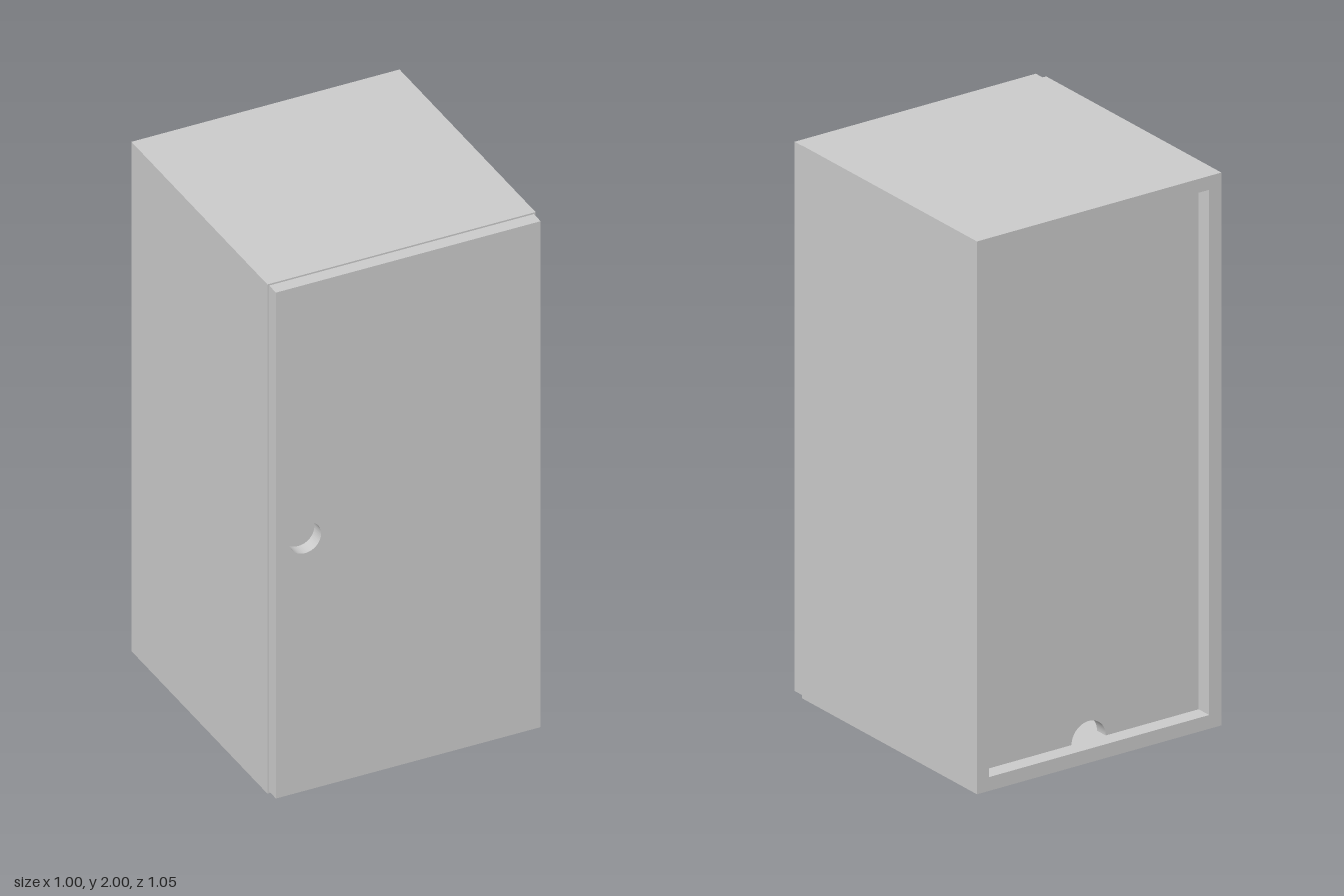
import * as THREE from 'three';

const material = new THREE.MeshStandardMaterial({ color: 0xcccccc });

function rectangle(w, y0, y1) {
  return new THREE.Shape([
    new THREE.Vector2(-w / 2, y0), new THREE.Vector2(w / 2, y0),
    new THREE.Vector2(w / 2, y1), new THREE.Vector2(-w / 2, y1),
  ]);
}

// Extrudes a shape from z to z + depth
function slab(name, shape, z, depth) {
  const geometry = new THREE.ExtrudeGeometry(shape, { depth, bevelEnabled: false, curveSegments: 32 });
  geometry.translate(0, 0, z);
  const mesh = new THREE.Mesh(geometry, material);
  mesh.name = name;
  return mesh;
}

export function createModel() {
  const group = new THREE.Group();
  group.name = 'cabinet';
  const wall = 0.05, back = -0.525, bodyDepth = 1;

  // Carcass: sides, top and bottom as one open frame
  const frame = rectangle(1, 0, 2);
  frame.holes.push(rectangle(1 - 2 * wall, wall, 2 - wall));
  group.add(slab('carcass', frame, back, bodyDepth));

  // Recessed back panel with a half-round cable notch at the bottom
  const w = 0.5 - wall, r = 0.07;
  const panel = new THREE.Shape();
  panel.moveTo(-w, wall);
  panel.lineTo(-r, wall);
  panel.absarc(0, wall, r, Math.PI, 0, true);
  panel.lineTo(w, wall);
  panel.lineTo(w, 2 - wall);
  panel.lineTo(-w, 2 - wall);
  panel.closePath();
  group.add(slab('backPanel', panel, back + 0.06, 0.05));

  // Door, slightly smaller than the carcass, with a round finger hole
  const door = rectangle(0.987, 0.007, 1.994);
  door.holes.push(new THREE.Path().absarc(-0.385, 1, 0.06, 0, Math.PI * 2, true));
  group.add(slab('door', door, back + bodyDepth, 0.05));

  return group;
}
